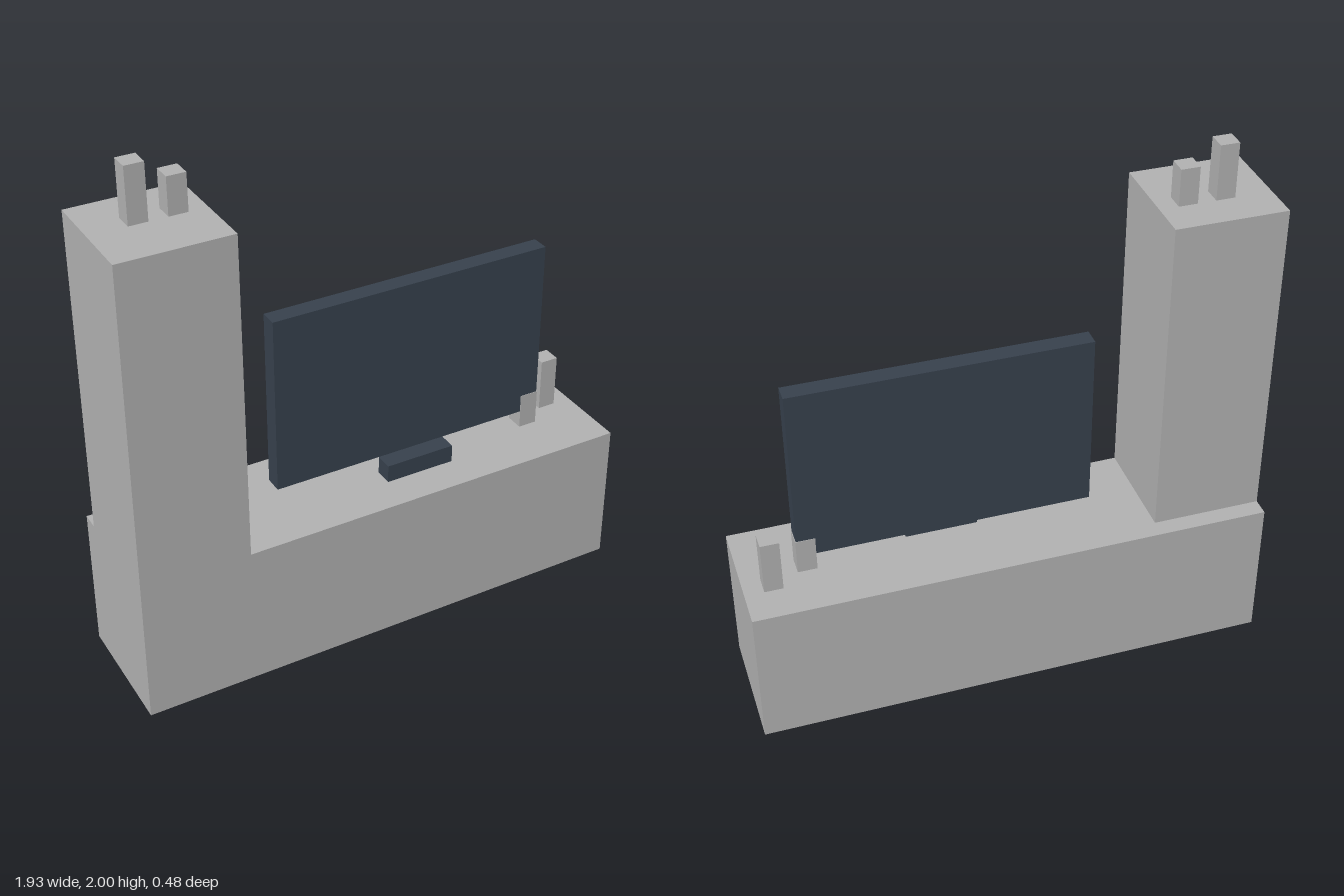
import * as THREE from 'three';

export function createModel() {
  const group = new THREE.Group();
  const grey = new THREE.MeshStandardMaterial({ color: 0xb2b2b2 });
  grey.name = 'stone grey';
  const slate = new THREE.MeshStandardMaterial({ color: 0x37414d });
  slate.name = 'dark slate';

  // Box spanning [min, max] on each axis
  function box(name, material, [x0, x1], [y0, y1], [z0, z1]) {
    const mesh = new THREE.Mesh(new THREE.BoxGeometry(x1 - x0, y1 - y0, z1 - z0), material);
    mesh.position.set((x0 + x1) / 2, (y0 + y1) / 2, (z0 + z1) / 2);
    mesh.name = name;
    group.add(mesh);
  }

  // Low cabinet with a tall tower at its right end
  box('cabinet', grey, [-0.966, 0.966], [0, 0.555], [-0.241, 0.241]);
  box('tower', grey, [-0.966, -0.555], [0.555, 1.795], [-0.173, 0.241]);

  // Screen and the foot in front of it
  box('screen', slate, [-0.345, 0.757], [0.624, 1.312], [-0.034, 0.034]);
  box('screenFoot', slate, [0.069, 0.341], [0.555, 0.624], [0.034, 0.103]);

  // Square ornaments: centre x, centre z, base, top, width
  // The short one is a hair wider so it wraps the corner of the screen
  const ornaments = [
    ['tallTowerOrnament', -0.795, 0, 1.795, 2, 0.069],
    ['shortTowerOrnament', -0.659, 0, 1.795, 1.933, 0.069],
    ['shortCabinetOrnament', 0.723, 0, 0.555, 0.693, 0.072],
    ['tallCabinetOrnament', 0.86, -0.069, 0.555, 0.763, 0.069],
  ];
  for (const [name, x, z, base, top, width] of ornaments) {
    const h = width / 2;
    box(name, grey, [x - h, x + h], [base, top], [z - h, z + h]);
  }

  return group;
}
